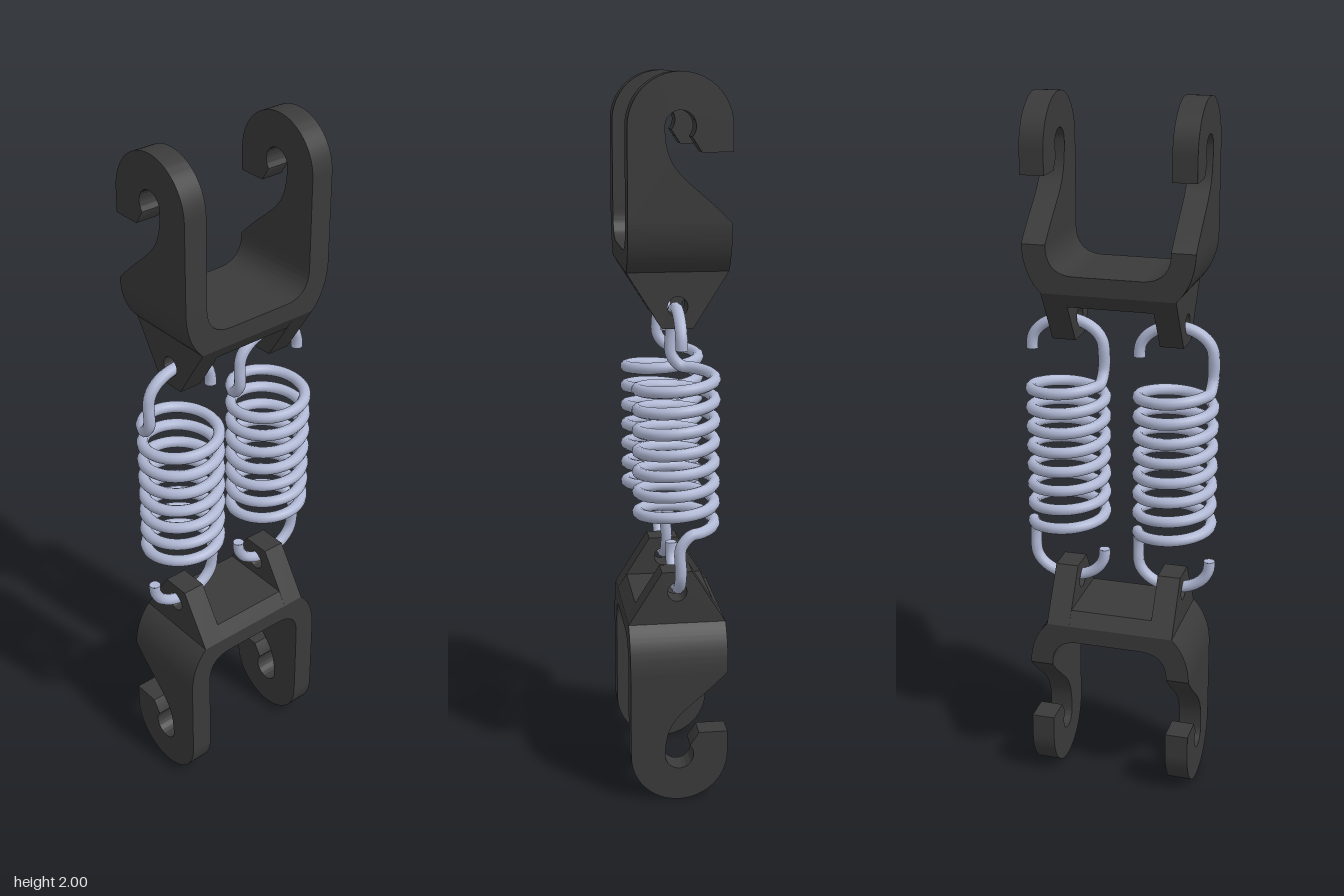
import * as THREE from 'three';
import { toCreasedNormals } from 'three/addons/utils/BufferGeometryUtils.js';

const darkMat = new THREE.MeshStandardMaterial({ color: 0x3a3a3a });
const steelMat = new THREE.MeshStandardMaterial({ color: 0xb0b8d4 });

const HALF_DEPTH = 0.136; // half depth of a bracket (local z)
const ARM_OUT = 0.236, ARM_IN = 0.17; // outer and inner face of a hook arm (local x)
const TAB_OUT = 0.185, TAB_IN = 0.119;
const SPRING_X = 0.155;

function mesh(name, geometry, material) {
  const m = new THREE.Mesh(geometry, material);
  m.name = name;
  return m;
}

function extrude(shape, depth) {
  return new THREE.ExtrudeGeometry(shape, { depth, bevelEnabled: false, curveSegments: 20 });
}

// Extrudes a (z, y) side profile between two x positions
function sidePlate(shape, x0, x1) {
  const g = extrude(shape, x1 - x0);
  g.rotateY(-Math.PI / 2);
  g.translate(x1, 0, 0);
  return toCreasedNormals(g, 0.6);
}

// Open hook with a round seat and a mouth towards -z
function hookShape() {
  const s = new THREE.Shape();
  s.moveTo(HALF_DEPTH, 1.62);
  s.lineTo(HALF_DEPTH, 1.864);
  s.absarc(0, 1.864, HALF_DEPTH, 0, Math.PI, false);
  s.lineTo(-HALF_DEPTH, 1.8);
  s.lineTo(-0.055, 1.8);
  s.lineTo(-0.03, 1.838);
  s.absarc(0, 1.865, 0.04, Math.PI * 1.23, 0, true);
  s.bezierCurveTo(0.04, 1.74, -0.02, 1.74, -HALF_DEPTH, 1.62);
  s.closePath();
  return s;
}

// Tapered lug, wide at the bracket and narrow at the free end
function taperShape(yEnd, halfEnd, hole) {
  const s = new THREE.Shape();
  s.moveTo(-HALF_DEPTH, 1.49);
  s.lineTo(-halfEnd, yEnd);
  s.lineTo(halfEnd, yEnd);
  s.lineTo(HALF_DEPTH, 1.49);
  s.closePath();
  if (hole) s.holes.push(new THREE.Path().absarc(0, 1.398, 0.027, 0, Math.PI * 2, true));
  return s;
}

// U-shaped yoke in (x, y) joining both hook arms
function yokeShape() {
  const s = new THREE.Shape();
  s.moveTo(-TAB_OUT, 1.49);
  s.lineTo(TAB_OUT, 1.49);
  s.quadraticCurveTo(0.234, 1.54, ARM_OUT, 1.62);
  s.lineTo(ARM_IN, 1.62);
  s.quadraticCurveTo(ARM_IN, 1.54, 0.09, 1.54);
  s.lineTo(-0.09, 1.54);
  s.quadraticCurveTo(-ARM_IN, 1.54, -ARM_IN, 1.62);
  s.lineTo(-ARM_OUT, 1.62);
  s.quadraticCurveTo(-0.234, 1.54, -TAB_OUT, 1.49);
  return s;
}

function makeBracket(name) {
  const g = new THREE.Group();
  g.name = name;
  const yoke = extrude(yokeShape(), HALF_DEPTH * 2);
  yoke.translate(0, 0, -HALF_DEPTH);
  g.add(mesh('yoke', toCreasedNormals(yoke, 0.6), darkMat));
  g.add(mesh('yokeUnderside', sidePlate(taperShape(1.45, 0.11, false), -TAB_IN, TAB_IN), darkMat));
  for (const side of [-1, 1]) {
    const label = side > 0 ? 'left' : 'right';
    const span = (a, b) => (side > 0 ? [a, b] : [-b, -a]);
    g.add(mesh(label + 'Hook', sidePlate(hookShape(), ...span(ARM_IN, ARM_OUT)), darkMat));
    g.add(mesh(label + 'SpringTab', sidePlate(taperShape(1.34, 0.042, true), ...span(TAB_IN, TAB_OUT)), darkMat));
  }
  return g;
}

// Extension spring: end hook, coils, opposite end hook as one wire
function makeSpring(name, x) {
  const R = 0.104, wire = 0.0165, turns = 7.5;
  const end = [];
  end.push(new THREE.Vector3(R, 1.295, 0));
  for (let i = 0; i <= 12; i++) {
    const a = (i / 12) * Math.PI;
    end.push(new THREE.Vector3(R * Math.cos(a), 1.31 + 0.078 * Math.sin(a), 0));
  }
  end.push(new THREE.Vector3(-R, 1.245, 0));

  const points = [...end];
  const steps = 180;
  for (let i = 1; i < steps; i++) {
    const t = i / steps;
    const a = Math.PI + t * turns * Math.PI * 2;
    points.push(new THREE.Vector3(R * Math.cos(a), 1.215 - 0.43 * t, R * Math.sin(a)));
  }
  for (const p of [...end].reverse()) points.push(new THREE.Vector3(-p.x, 2 - p.y, p.z));

  const g = new THREE.Group();
  g.name = name;
  const path = new THREE.CatmullRomCurve3(points, false, 'centripetal');
  path.arcLengthDivisions = 2000;
  g.add(mesh('springWire', new THREE.TubeGeometry(path, 640, wire, 10), steelMat));
  // Flat wire ends
  for (const s of [1, -1]) {
    const cap = mesh('wireEnd', new THREE.CircleGeometry(wire, 10), steelMat);
    cap.rotation.x = s * Math.PI / 2;
    cap.position.set(s * R, 1 + s * 0.295, 0);
    g.add(cap);
  }
  g.position.x = x;
  return g;
}

export function createModel() {
  const model = new THREE.Group();
  model.name = 'doubleSpringCoupling';

  const body = new THREE.Group();
  body.name = 'coupling';
  body.rotation.y = 0.635;

  const upper = makeBracket('upperBracket');
  const lower = makeBracket('lowerBracket');
  lower.rotation.z = Math.PI;
  lower.position.y = 2;
  body.add(upper, lower);
  body.add(makeSpring('leftSpring', SPRING_X), makeSpring('rightSpring', -SPRING_X));

  model.add(body);
  return model;
}
